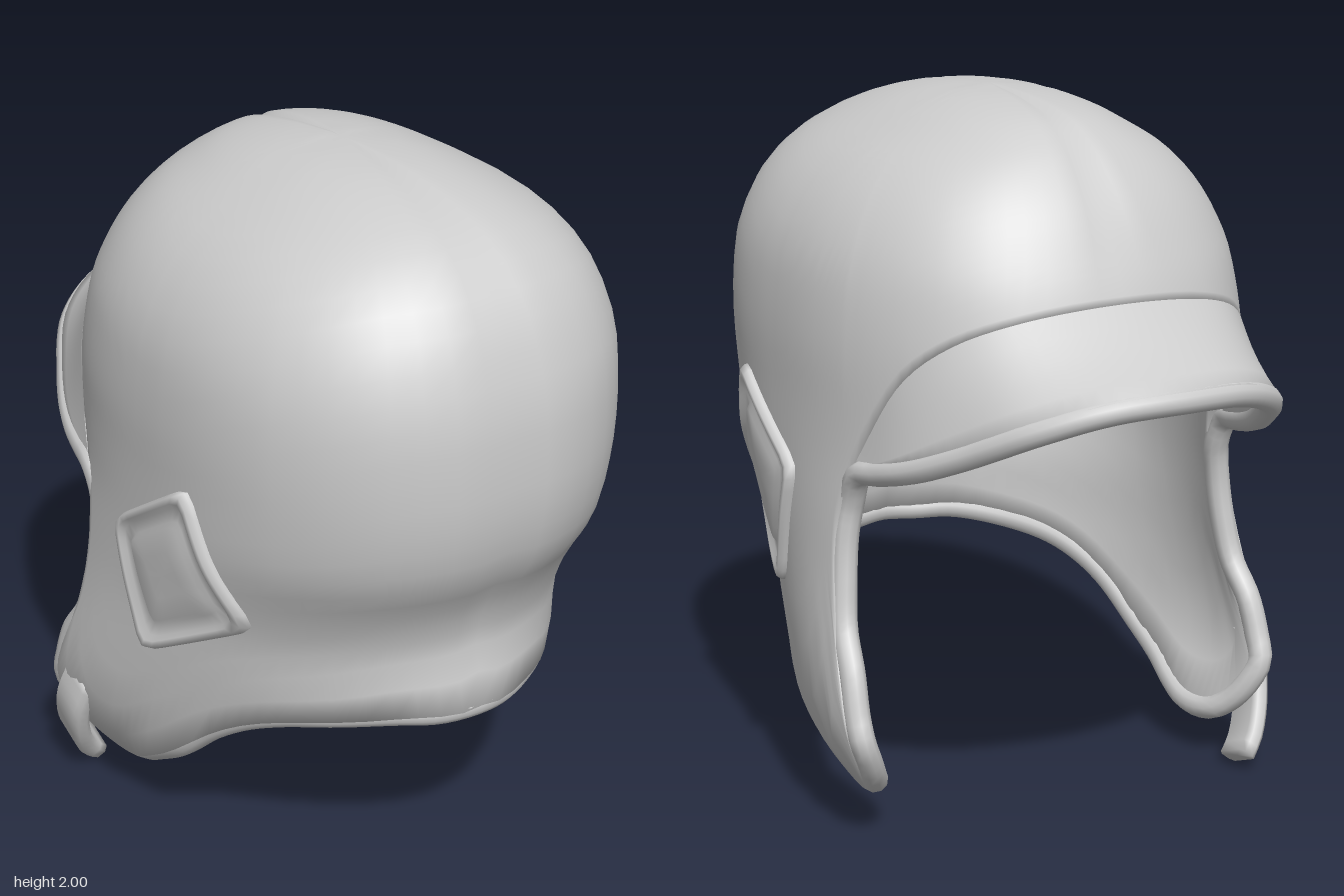
import * as THREE from 'three';
import { mergeVertices } from 'three/addons/utils/BufferGeometryUtils.js';

const V = (x, y, z) => new THREE.Vector3(x, y, z);
const CENTER = V(0, 1.1, 0.12);

// Shell profile by height: y, half width, rear z, front z, roundness power
const PROFILE = [
  [0, 0.5, 0.8, -1.4, 1.65], [0.1, 0.575, 0.8, -1.38, 1.65], [0.2, 0.645, 0.8, -1.35, 1.65], [0.32, 0.695, 0.8, -1.31, 1.67],
  [0.45, 0.695, 0.81, -1.22, 1.7], [0.6, 0.678, 0.82, -1.06, 1.8], [0.75, 0.663, 0.785, -0.9, 1.95], [0.9, 0.657, 0.825, -0.78, 2.1],
  [1.04, 0.655, 0.905, -0.71, 2.2], [1.2, 0.655, 0.943, -0.69, 2.25], [1.35, 0.657, 0.948, -0.67, 2.28], [1.5, 0.645, 0.937, -0.63, 2.3],
  [1.6, 0.625, 0.91, -0.59, 2.3], [1.73, 0.56, 0.855, -0.52, 2.3], [1.83, 0.465, 0.77, -0.44, 2.3], [1.9, 0.35, 0.67, -0.36, 2.25],
  [1.95, 0.25, 0.53, -0.26, 2.2], [1.985, 0.14, 0.35, -0.08, 2.1], [2, 0, 0.12, 0.12, 2],
];

// Smooth interpolation of the profile
function section(y) {
  const k = PROFILE.findIndex((p) => p[0] >= y);
  if (k <= 0) return PROFILE[k === 0 ? 0 : PROFILE.length - 1];
  const a = PROFILE[k - 1], b = PROFILE[k], h = b[0] - a[0], t = (y - a[0]) / h;
  const before = PROFILE[Math.max(k - 2, 0)], after = PROFILE[Math.min(k + 1, PROFILE.length - 1)];
  return a.map((v, i) => {
    const m0 = (b[i] - before[i]) / (b[0] - before[0]) * h, m1 = (after[i] - v) / (after[0] - a[0]) * h;
    const d = b[i] - v;
    return v + t * (m0 + t * (3 * d - 2 * m0 - m1 + t * (m0 + m1 - 2 * d)));
  });
}

// Half width of the shell surface at a side position
function surfaceX(z, y) {
  const [, w, back, front, power] = section(y);
  const r = Math.abs(z - (back + front) / 2) / ((back - front) / 2);
  return r >= 1 ? 0 : w * (1 - r ** power) ** (1 / power);
}

// Point where a ray from the centre meets the shell
function hit(azimuth, polar) {
  const d = V(Math.sin(polar) * Math.sin(azimuth), Math.cos(polar), Math.sin(polar) * Math.cos(azimuth));
  let lo = 0, hi = 2;
  for (let i = 0; i < 30; i++) {
    const s = (lo + hi) / 2, p = CENTER.clone().addScaledVector(d, s);
    if (p.y < 2 && Math.abs(p.x) < surfaceX(p.z, p.y)) lo = s; else hi = s;
  }
  return CENTER.clone().addScaledVector(d, lo);
}

// Skin through rows of points
function loft(rows, closed) {
  const n = rows[0].length, pos = [], index = [];
  rows.forEach((r) => r.forEach((p) => pos.push(p.x, p.y, p.z)));
  for (let j = 0; j < rows.length - 1; j++) {
    for (let i = 0; i < (closed ? n : n - 1); i++) {
      const a = j * n + i, b = j * n + (i + 1) % n;
      index.push(a, a + n, b, b, a + n, b + n);
    }
  }
  const g = new THREE.BufferGeometry();
  g.setAttribute('position', new THREE.Float32BufferAttribute(pos, 3));
  g.setIndex(index);
  const merged = mergeVertices(g, 1e-5);
  merged.computeVertexNormals();
  return merged;
}

// Lower edge from nape to brow: z, y, crown azimuth in degrees
const RIM = [
  [0.82, 0.585, 0], [0.74, 0.575, 25], [0.5, 0.515, 47], [0.3, 0.405, 63], [0.05, 0.215, 78],
  [-0.12, 0.125, 89], [-0.25, 0.13, 95], [-0.335, 0.24, 99], [-0.325, 0.38, 103], [-0.235, 0.6, 107],
  [-0.19, 0.85, 112], [-0.235, 1.04, 118], [-0.39, 1.3, 130], [-0.49, 1.4, 143], [-0.58, 1.46, 160], [-0.634, 1.49, 180],
];
const rimPoint = ([z, y], i) => V(i === 0 || i === RIM.length - 1 ? 0 : surfaceX(z, y), y, z);
const mirror = (p) => V(-p.x, p.y, p.z);

const HALF = 60, ROWS = 28, CORNER = 44;

function shellColumns() {
  const curve = new THREE.CatmullRomCurve3(RIM.map(rimPoint), false, 'centripetal');
  const columns = [];
  for (let i = 0; i <= HALF; i++) {
    const u = i / HALF * (RIM.length - 1), k = Math.min(Math.floor(u), RIM.length - 2);
    const start = THREE.MathUtils.degToRad(RIM[k][2] + (RIM[k + 1][2] - RIM[k][2]) * (u - k));
    const d = curve.getPoint(i / HALF).sub(CENTER);
    const middle = i === 0 || i === HALF;
    const end = middle ? start : Math.atan2(d.x, d.z);
    const polar = Math.acos(d.y / d.length());
    const column = [];
    for (let j = 0; j <= ROWS; j++) {
      const t = j / ROWS;
      const p = j ? hit(start + (end - start) * t ** 7, polar * t) : V(0, 1.995, 0.12);
      // stitched groove along the middle, fading out at crown and rim
      if (middle) {
        p.x = 0;
        p.addScaledVector(p.clone().sub(CENTER).normalize(), -0.014 * Math.sin(Math.PI * t));
      }
      column.push(p);
    }
    columns.push(column);
  }
  for (let i = HALF - 1; i > 0; i--) columns.push(columns[i].map(mirror));
  return columns;
}

// Inner lining points, offset along the surface normal
function lining(columns, thickness) {
  const n = columns.length;
  return columns.map((c, i) => c.map((p, j) => {
    if (j === 0) return V(0, p.y - thickness, p.z);
    const du = columns[(i + 1) % n][j].clone().sub(columns[(i + n - 1) % n][j]);
    const dv = c[Math.min(j + 1, ROWS)].clone().sub(c[j - 1]);
    return p.clone().addScaledVector(dv.cross(du).normalize(), -thickness);
  }));
}

export function createModel() {
  const group = new THREE.Group();
  const material = new THREE.MeshStandardMaterial({ color: 0xcccccc, side: THREE.DoubleSide });
  material.name = 'light grey';
  const add = (name, geometry) => {
    const mesh = new THREE.Mesh(geometry, material);
    mesh.name = name;
    group.add(mesh);
    return mesh;
  };

  // Cap shell with ear flaps
  const columns = shellColumns(), inner = lining(columns, 0.065), rows = [];
  for (let j = 0; j <= ROWS; j++) rows.push(columns.map((c) => c[j]));
  for (let j = ROWS; j >= 0; j--) rows.push(inner.map((c) => c[j]));
  add('capShell', loft(rows, true));

  // Flared visor, blending into the shell at the sides
  const symmetric = (half) => new THREE.CatmullRomCurve3([...half, ...half.slice(0, -1).reverse().map(mirror)]);
  const seam = symmetric(RIM.slice(11).map((r, i) => rimPoint(r, i + 11)));
  const edge = symmetric([
    V(surfaceX(-0.235, 1.04), 1.04, -0.235), V(0.565, 1.09, -0.44), V(0.48, 1.165, -0.62),
    V(0.375, 1.245, -0.775), V(0.21, 1.305, -0.88), V(0, 1.32, -0.918),
  ]);
  const focus = V(0, 0.7, -0.45);
  const lift = (p, d) => p.clone().addScaledVector(p.clone().sub(focus).normalize(), d);
  const top = [], under = [];
  for (let k = 0; k <= 5; k++) {
    const t = k / 5, line = [];
    for (let i = 0; i <= 48; i++) {
      const p = seam.getPointAt(i / 48).lerp(edge.getPointAt(i / 48), t);
      const middle = Math.sin(Math.PI * i / 48) ** 2;
      line.push(lift(p, 0.003 + 0.012 * middle - 0.014 * Math.sin(Math.PI * t) * middle));
    }
    top.push(line);
    under.unshift(line.map((p) => lift(p, -0.055)));
  }
  add('visor', loft([...top, ...under], false));

  // Rolled edge around the flaps, nape and visor
  const path = [];
  for (let i = 0; i < CORNER; i += 2) path.push(columns[i][ROWS].clone().lerp(inner[i][ROWS], 0.58));
  for (let i = 0; i <= 12; i++) path.push(lift(edge.getPointAt(i / 24), -0.022));
  const loop = [...path, ...path.slice(1, -1).reverse().map(mirror)];
  add('rolledEdge', new THREE.TubeGeometry(new THREE.CatmullRomCurve3(loop, true), 220, 0.036, 10, true));

  // Framed ear pads on both sides
  const corners = [[0.5, 0.825], [0.125, 0.62], [0.015, 1.0], [0.365, 1.23]];
  const steps = [[1, -0.03], [1, 0.01], [0.96, 0.026], [0.88, 0.026], [0.82, 0.012],
    [0.66, 0.01], [0.6, 0.022], [0.3, 0.024], [0, 0.024]];
  const rings = steps.map(([s, h]) => Array.from({ length: 48 }, (_, i) => {
    const a = i / 48 * Math.PI * 2, c = Math.cos(a), n = Math.sin(a);
    const m = s / (Math.abs(c) ** 12 + Math.abs(n) ** 12) ** (1 / 12);
    const u = (1 + c * m) / 2, v = (1 + n * m) / 2;
    const [z, y] = [0, 1].map((k) => (1 - v) * ((1 - u) * corners[0][k] + u * corners[1][k])
      + v * ((1 - u) * corners[3][k] + u * corners[2][k]));
    return V(surfaceX(z, y) + h, y, z);
  }));
  const pad = loft(rings, true);
  add('leftEarPad', pad);
  add('rightEarPad', pad).scale.x = -1;

  // Chin strap end hanging from one flap
  const strap = new THREE.CatmullRomCurve3([
    V(-0.66, 0.38, -0.22), V(-0.685, 0.28, -0.25), V(-0.665, 0.17, -0.295), V(-0.615, 0.08, -0.345), V(-0.57, 0.035, -0.37),
  ]);
  const across = V(0, 0.38, -0.92).normalize();
  const bands = [];
  for (let k = 0; k <= 12; k++) {
    const n = strap.getTangentAt(k / 12).cross(across).normalize(), p = strap.getPointAt(k / 12);
    bands.push([[-1, -0.5], [-0.8, -1], [0.8, -1], [1, -0.5], [1, 0.5], [0.8, 1], [-0.8, 1], [-1, 0.5]].map(
      ([w, h]) => p.clone().addScaledVector(across, w * 0.064).addScaledVector(n, h * 0.028)));
  }
  const cap = (at) => Array.from({ length: 8 }, () => strap.getPointAt(at));
  add('chinStrap', loft([cap(0), ...bands, cap(1)], true));
  return group;
}
